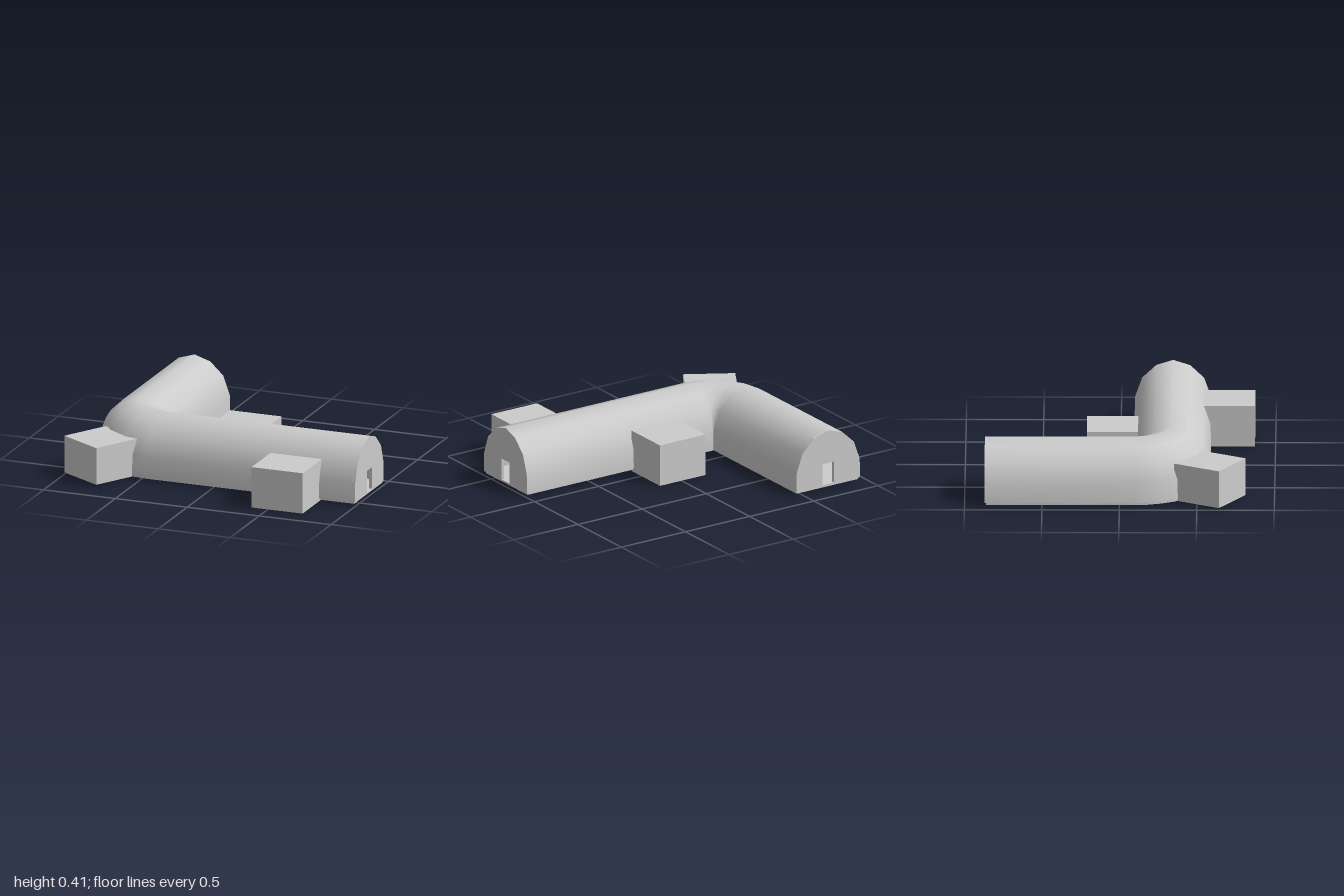
import * as THREE from 'three';
import { toCreasedNormals } from 'three/addons/utils/BufferGeometryUtils.js';

// pivot of the elbow (inner corner) and half-width of the tunnel
const PX = -0.45, PZ = 0.085, R = 0.25;
const END_X = 1, END_Z = -0.87;

// half of the arched section: [offset from the centre line, height]
const half = [[0.238, 0.03], [0.249, 0.03], [0.245, 0.16], [0.2, 0.285], [0.11, 0.37]];
const section = [...half, [0, 0.405], ...half.map(([u, y]) => [-u, y]).reverse()];

// sweep the section along one leg, around the elbow and along the other leg
function tunnelGeometry() {
  const rings = [];
  const ring = (f) => rings.push(section.map(([u, y]) => f(R + u, y)));
  ring((r, y) => [END_X, y, PZ + r]);
  for (let i = 0; i <= 4; i++) {
    const a = (i / 4) * Math.PI / 2;
    ring((r, y) => [PX - r * Math.sin(a), y, PZ + r * Math.cos(a)]);
  }
  ring((r, y) => [PX - r, y, END_Z]);

  const n = section.length, index = [];
  for (let i = 0; i < rings.length - 1; i++) {
    for (let j = 0; j < n - 1; j++) {
      const a = i * n + j, b = a + 1, c = a + n, d = c + 1;
      index.push(a, b, c, b, d, c);
    }
  }
  const g = new THREE.BufferGeometry();
  g.setAttribute('position', new THREE.Float32BufferAttribute(rings.flat(2), 3));
  g.setIndex(index);
  return toCreasedNormals(g, 0.75);
}

// end wall with a doorway
function endWallGeometry() {
  const wall = new THREE.Shape(section.map(([u, y]) => new THREE.Vector2(u, y)));
  const door = [[-0.045, 0.035], [-0.045, 0.18], [0.045, 0.18], [0.045, 0.035]];
  wall.holes.push(new THREE.Path(door.map(([x, y]) => new THREE.Vector2(x, y))));
  return new THREE.ExtrudeGeometry(wall, { depth: 0.02, bevelEnabled: false });
}

// L-shaped floor slab, slightly inset from the walls
function floorGeometry() {
  const s = new THREE.Shape(), t = 0.01, r = 2 * R - t;
  s.moveTo(END_X - t, -PZ - t);
  s.lineTo(PX - t, -PZ - t);
  s.lineTo(PX - t, -END_Z - t);
  s.lineTo(PX - r, -END_Z - t);
  s.absarc(PX, -PZ, r, Math.PI, Math.PI * 1.5, false);
  s.lineTo(END_X - t, -PZ - r);
  return new THREE.ExtrudeGeometry(s, { depth: 0.017, bevelEnabled: false, curveSegments: 4 });
}

export function createModel() {
  const model = new THREE.Group();
  model.name = 'tunnelBuilding';
  const mat = new THREE.MeshStandardMaterial({ color: 0xcccccc });
  const shellMat = new THREE.MeshStandardMaterial({ color: 0xcccccc, side: THREE.DoubleSide });
  const add = (name, geometry, x = 0, y = 0, z = 0, material = mat) => {
    const m = new THREE.Mesh(geometry, material);
    m.name = name;
    m.position.set(x, y, z);
    model.add(m);
    return m;
  };

  // arched shell and floor
  add('archedTunnel', tunnelGeometry(), 0, 0, 0, shellMat);
  add('floorSlab', floorGeometry(), 0, 0.015, 0).rotation.x = -Math.PI / 2;

  // end walls
  const wall = endWallGeometry();
  add('leftEndWall', wall, END_X - 0.02, 0, PZ + R).rotation.y = Math.PI / 2;
  add('backEndWall', wall, PX - R, 0, END_Z + 0.02).rotation.y = Math.PI;

  // side rooms: centre x, centre z, width, depth, bottom, top, turn
  const rooms = [
    ['frontRoom', 0.572, 0.7, 0.356, 0.335, 0.006, 0.279, 0],
    ['backRoom', -0.01, -0.05, 0.356, 0.33, 0, 0.279, 0],
    ['cornerRoom', -0.768, 0.583, 0.338, 0.336, 0.014, 0.262, -0.53],
  ];
  for (const [name, x, z, w, d, y0, y1, turn] of rooms) {
    add(name, new THREE.BoxGeometry(w, y1 - y0, d), x, (y0 + y1) / 2, z).rotation.y = turn;
  }
  return model;
}
